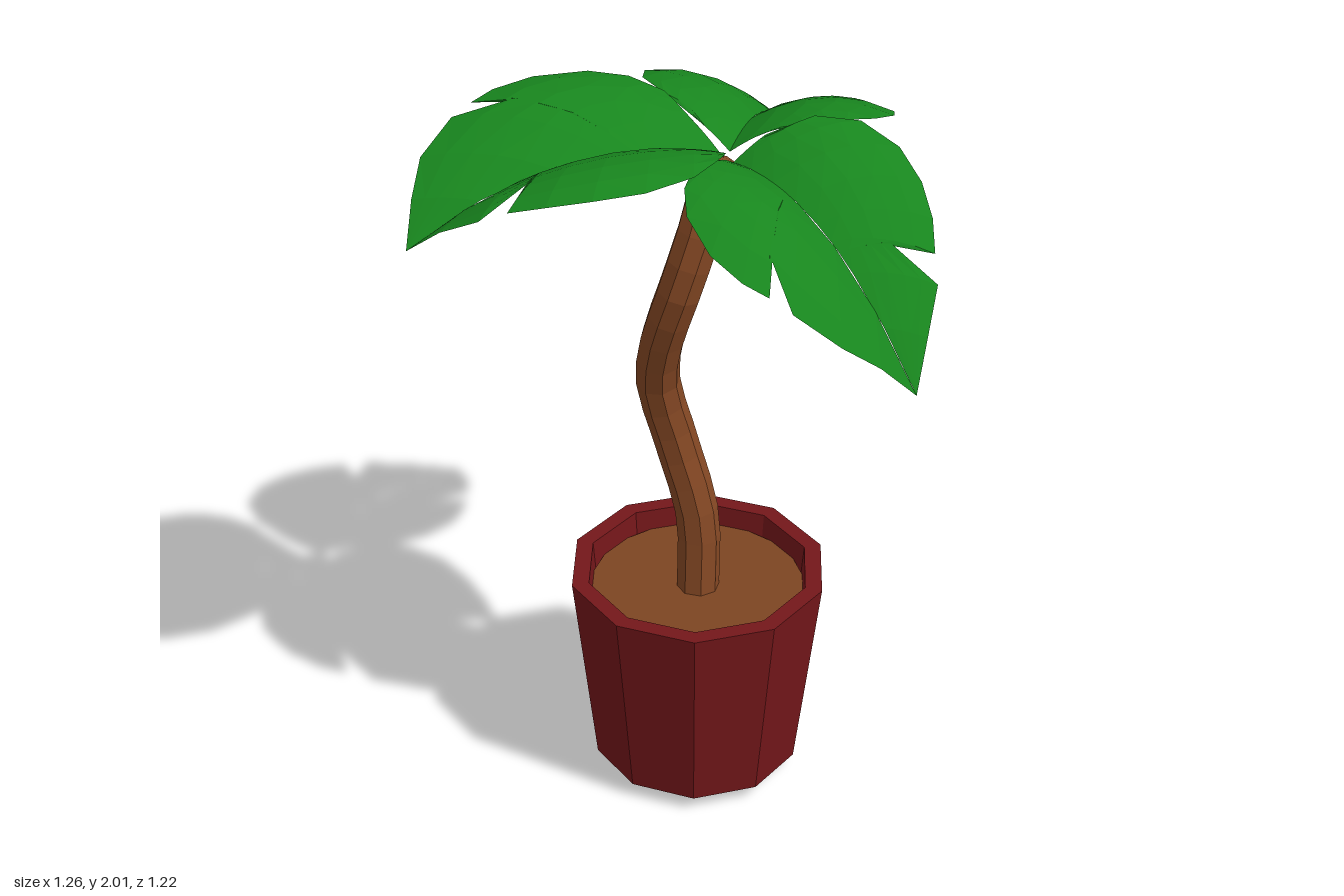
import * as THREE from 'three';

const mat = (color, side = THREE.FrontSide) =>
  new THREE.MeshStandardMaterial({ color, side, flatShading: true });
const potMat = mat(0x74171a), soilMat = mat(0x7d4522), trunkMat = mat(0x854824);
const leafMat = mat(0x18861e, THREE.DoubleSide);

// Half-leaf outlines as veins: [start on midrib, end along leaf, end across leaf].
// Each has one notch, deeper on one side than the other.
const deepSide = [
  [0, 0.04, 0.085], [0.03, 0.13, 0.197], [0.1, 0.255, 0.28], [0.22, 0.42, 0.31],
  [0.34, 0.57, 0.29], [0.45, 0.69, 0.25], [0.53, 0.78, 0.2], [0.57, 0.68, 0.11],
  [0.65, 0.85, 0.165], [0.82, 0.93, 0.08], [1, 1, 0],
];
const shallowSide = [
  [0, 0.06, 0.1], [0.03, 0.09, 0.19], [0.06, 0.165, 0.265], [0.11, 0.27, 0.32],
  [0.17, 0.437, 0.345], [0.22, 0.575, 0.325], [0.26, 0.66, 0.29], [0.29, 0.555, 0.225],
  [0.36, 0.735, 0.26], [0.55, 0.87, 0.18], [0.77, 0.94, 0.09], [1, 1, 0],
];

// Leaf bent along its midrib, with a raised, drooping surface on either side.
function makeLeaf({ base, tip, midY, roll }) {
  const dx = tip[0] - base[0], dz = tip[2] - base[2], len = Math.hypot(dx, dz);
  const bulge = midY - (base[1] + tip[1]) / 2;
  const place = (t, v) => {
    const w = Math.abs(v);
    return [
      base[0] + dx * t + (dz / len) * v,
      base[1] + (tip[1] - base[1]) * t + 4 * bulge * t * (1 - t) + 0.7 * w - 1.6 * w * w + roll * v,
      base[2] + dz * t - (dx / len) * v,
    ];
  };
  const positions = [], index = [], steps = 5;
  for (const [veins, sign] of [[deepSide, 1], [shallowSide, -1]]) {
    const start = positions.length / 3;
    veins.forEach(([m, t, w], i) => {
      for (let k = 0; k <= steps; k++) {
        const f = k / steps;
        positions.push(...place(m + (t - m) * f, sign * w * f));
        if (i === 0 || k === 0) continue;
        const d = start + i * (steps + 1) + k, c = d - 1, b = d - steps - 1, a = b - 1;
        if (sign > 0) index.push(a, c, b, b, c, d);
        else index.push(a, b, c, b, d, c);
      }
    });
  }
  const geo = new THREE.BufferGeometry();
  geo.setAttribute('position', new THREE.Float32BufferAttribute(positions, 3));
  geo.setIndex(index);
  geo.computeVertexNormals();
  return geo;
}

export function createModel() {
  const group = new THREE.Group();
  const add = (name, geo, material, x = 0, y = 0, z = 0) => {
    const mesh = new THREE.Mesh(geo, material);
    mesh.name = name;
    mesh.position.set(x, y, z);
    group.add(mesh);
    return mesh;
  };
  const turn = THREE.MathUtils.degToRad(27);

  // Ten-sided pot with a bevelled foot and an open rim
  const profile = [[0, 0], [0.215, 0], [0.288, 0.045], [0.352, 0.625], [0.305, 0.625], [0.298, 0.54]]
    .map(([x, y]) => new THREE.Vector2(x, y));
  add('pot', new THREE.LatheGeometry(profile, 10, turn), potMat, 0.09, 0, 0.02);
  const soil = add('soil', new THREE.CircleGeometry(0.302, 10, turn), soilMat, 0.09, 0.565, 0.02);
  soil.rotation.x = -Math.PI / 2;

  // Winding trunk with a rounded top
  const path = new THREE.CatmullRomCurve3([
    [0.09, 0.55, 0.025], [0.09, 0.78, 0.005], [0.03, 1.02, -0.025], [-0.015, 1.2, -0.01],
    [-0.01, 1.35, 0.04], [0.025, 1.51, 0.09], [0.085, 1.7, 0.08], [0.12, 1.82, 0.037],
  ].map((p) => new THREE.Vector3(...p)));
  add('trunk', new THREE.TubeGeometry(path, 16, 0.058, 8), trunkMat);
  const top = add('trunkTop', new THREE.SphereGeometry(0.057, 8, 6), trunkMat, 0.12, 1.82, 0.037);
  top.scale.y = 0.5;

  // Three broad drooping leaves
  const leaves = {
    leftLeaf: { base: [0.14, 1.85, 0.04], tip: [-0.645, 1.77, 0.285], midY: 1.915, roll: -0.06 },
    backLeaf: { base: [0.16, 1.85, 0.01], tip: [0.44, 1.56, -0.61], midY: 1.81, roll: 0.04 },
    frontLeaf: { base: [0.16, 1.85, 0.07], tip: [0.53, 1.46, 0.57], midY: 1.77, roll: 0.06 },
  };
  for (const [name, spec] of Object.entries(leaves)) add(name, makeLeaf(spec), leafMat);
  return group;
}
